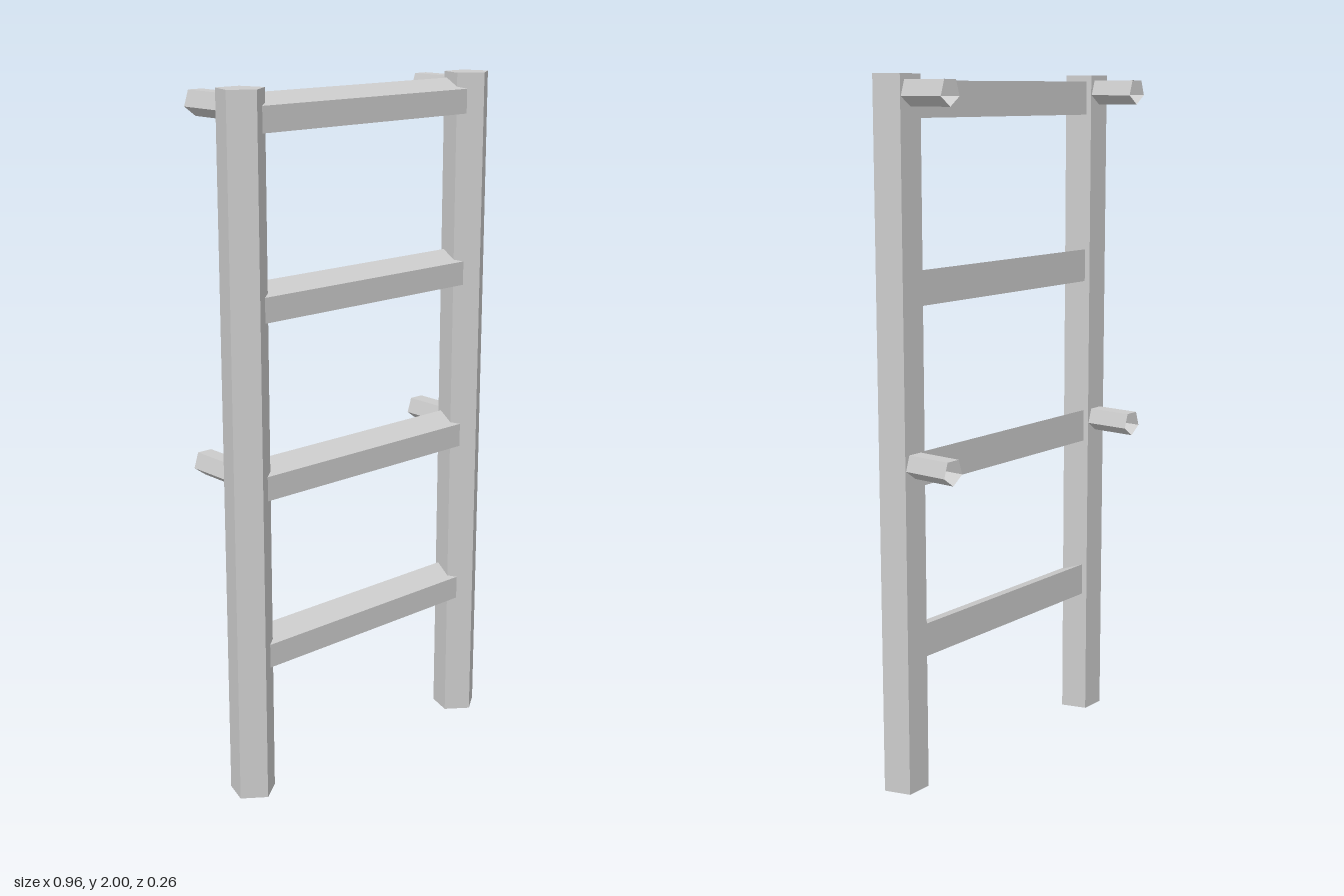
import * as THREE from 'three';

const POST_X = 0.418;
const POST_Z = 0.062;
const POST_R = 0.067;

export function createModel() {
  const group = new THREE.Group();
  const material = new THREE.MeshStandardMaterial({
    color: 0xcccccc, flatShading: true, side: THREE.DoubleSide,
  });

  const add = (geometry, name, x, y, z) => {
    const mesh = new THREE.Mesh(geometry, material);
    mesh.name = name;
    mesh.position.set(x, y, z);
    group.add(mesh);
    return mesh;
  };

  // Five-sided posts, corner to the front, open at the foot
  const post = new THREE.CylinderGeometry(POST_R, POST_R, 2, 5, 1, true);
  const cap = new THREE.CircleGeometry(POST_R, 5);
  cap.rotateZ(-Math.PI / 2).rotateX(-Math.PI / 2);

  // Five-sided wall pegs, flat side up, open at the ends
  const peg = new THREE.CylinderGeometry(0.0387, 0.0387, 0.14, 5, 1, true);
  peg.rotateX(Math.PI / 2);

  for (const [side, x] of [['left', POST_X], ['right', -POST_X]]) {
    add(post, `${side}Post`, x, 1, POST_Z);
    add(cap, `${side}PostTop`, x, 2, POST_Z);
    for (const y of [0.954, 1.954]) add(peg, `${side}WallPeg`, x, y, -0.06);
  }

  // Rungs: upright front and back, top sloping down to the front
  const profile = new THREE.Shape([
    new THREE.Vector2(0.022, 0),
    new THREE.Vector2(0.1, 0),
    new THREE.Vector2(0.1, 0.07),
    new THREE.Vector2(0.022, 0.097),
  ]);
  const width = 0.78;
  const rung = new THREE.ExtrudeGeometry(profile, { depth: width, bevelEnabled: false });
  rung.rotateY(-Math.PI / 2).translate(width / 2, 0, 0);
  for (let i = 0; i < 4; i++) add(rung, `rung${i + 1}`, 0, 0.385 + i * 0.5, 0);

  return group;
}
